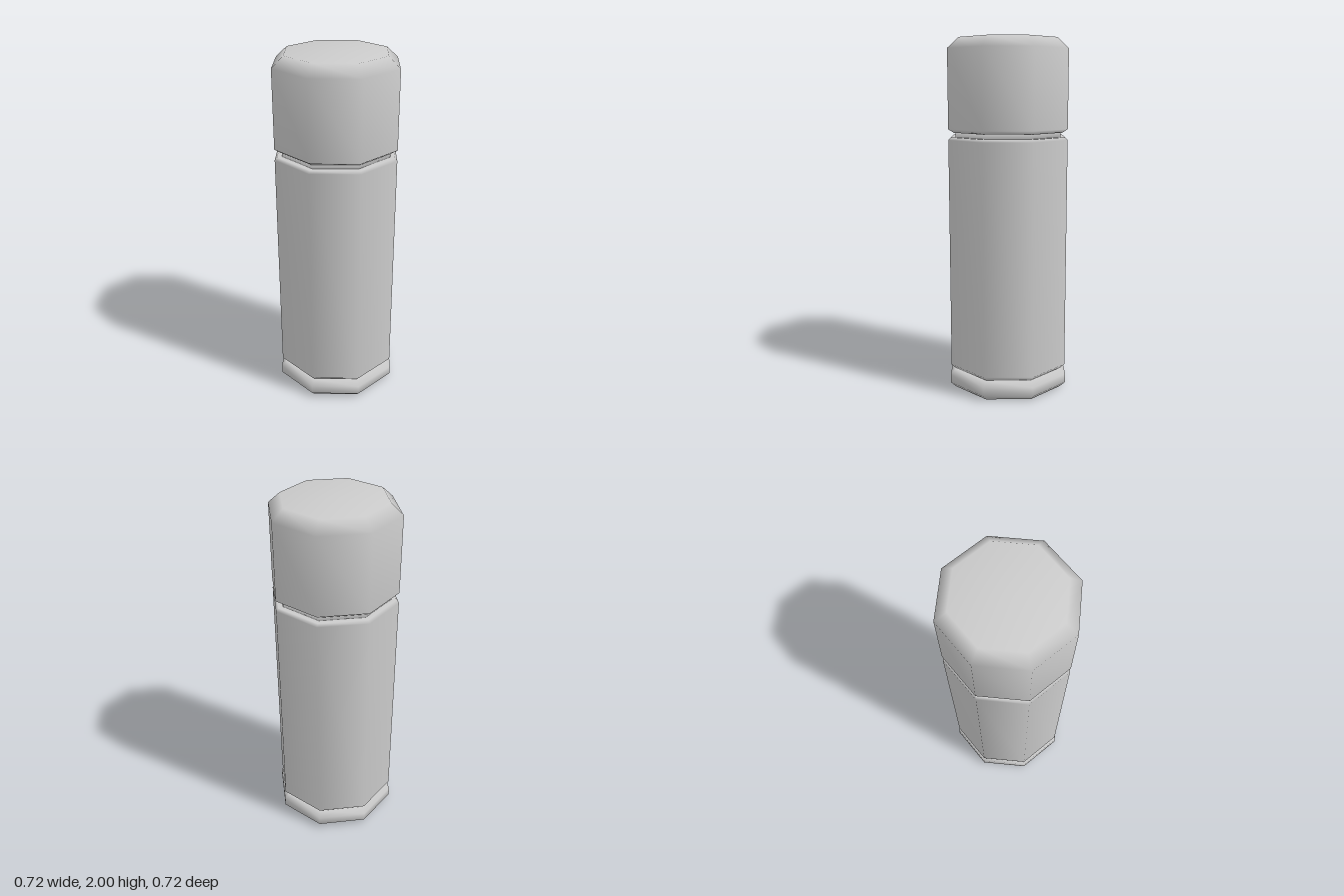
import * as THREE from 'three';

const SIDES = 8;

// Closed, smooth-shaded octagonal solid from [radius, height] pairs, bottom to top
function turnedPart(name, profile, material) {
  const points = [
    [0, profile[0][1]],
    ...profile,
    [0, profile[profile.length - 1][1]],
  ].map(([r, y]) => new THREE.Vector2(r, y));
  const mesh = new THREE.Mesh(new THREE.LatheGeometry(points, SIDES), material);
  mesh.name = name;
  return mesh;
}

export function createModel() {
  const group = new THREE.Group();
  group.name = 'cappedCylinder';
  const grey = new THREE.MeshStandardMaterial({ color: 0xcccccc });

  group.add(
    // Bevelled foot ring
    turnedPart('base', [[0.33, 0], [0.362, 0.03], [0.362, 0.08], [0.33, 0.11]], grey),
    // Long barrel with chamfered ends
    turnedPart('body', [[0.325, 0.11], [0.356, 0.14], [0.356, 1.445], [0.342, 1.46]], grey),
    // Recessed neck between barrel and cap
    turnedPart('neck', [[0.315, 1.44], [0.315, 1.5]], grey),
    // Cap with a wide top chamfer
    turnedPart('cap', [[0.325, 1.485], [0.356, 1.505], [0.356, 1.94], [0.29, 2]], grey),
  );
  return group;
}
